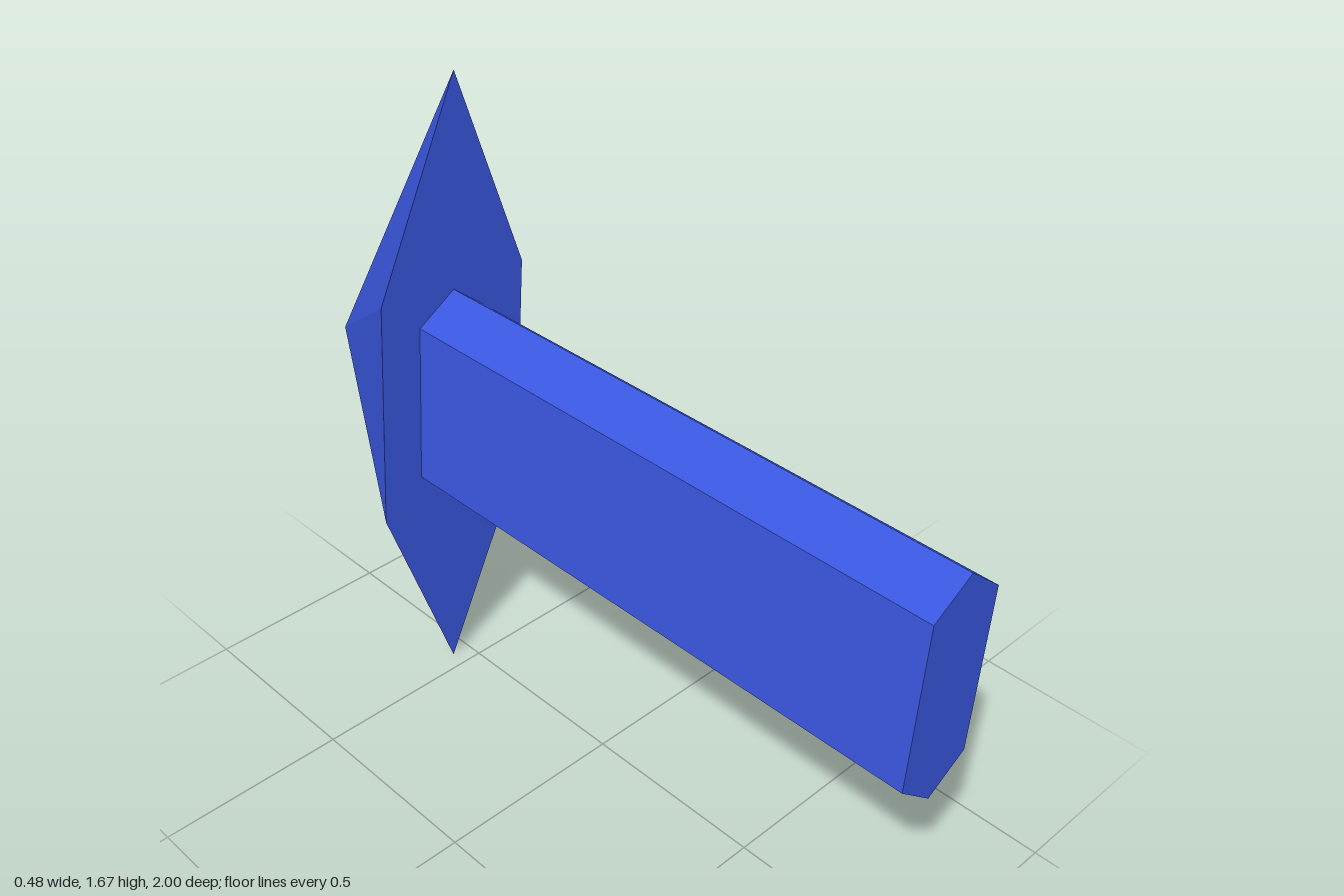
import * as THREE from 'three';

const MID_Y = 0.8425;  // height of the arrow's axis
const HEAD_Z = -0.545; // plane where the head meets the shaft

// Half a hexagon, counter-clockwise, completed by point symmetry about the axis
function hexagon(half) {
  return [...half, ...half.map(([x, y]) => [-x, -y])].map(([x, y]) => new THREE.Vector2(x, y));
}

// Pyramid pointing to -z with a closed base facing +z
function pyramid(points, baseZ, tipZ) {
  const pos = [];
  points.forEach((a, i) => {
    const b = points[(i + 1) % points.length];
    pos.push(a.x, a.y, baseZ, b.x, b.y, baseZ, 0, 0, baseZ); // base
    pos.push(b.x, b.y, baseZ, a.x, a.y, baseZ, 0, 0, tipZ);  // side
  });
  for (let i = 0; i < pos.length; i += 9) {
    // base triangles keep the centre last, already counter-clockwise from +z
  }
  const geo = new THREE.BufferGeometry();
  geo.setAttribute('position', new THREE.Float32BufferAttribute(pos, 3));
  geo.computeVertexNormals();
  return geo;
}

export function createModel() {
  const group = new THREE.Group();
  group.name = 'arrow';
  const blue = new THREE.MeshStandardMaterial({ name: 'blue', color: 0x3a57e0, flatShading: true });

  // Long hexagonal shaft
  const shaftShape = new THREE.Shape(hexagon([[0.019, 0.287], [-0.091, 0.22], [-0.119, -0.203]]));
  const shaftGeo = new THREE.ExtrudeGeometry(shaftShape, { depth: 1 - HEAD_Z, bevelEnabled: false });
  const shaft = new THREE.Mesh(shaftGeo, blue);
  shaft.name = 'shaft';
  shaft.position.set(0, MID_Y, HEAD_Z);

  // Six-sided pointed head
  const headPoints = hexagon([[0.054, 0.836], [-0.2, 0.318], [-0.24, -0.287]]);
  const head = new THREE.Mesh(pyramid(headPoints, HEAD_Z, -1), blue);
  head.name = 'head';
  head.position.y = MID_Y;

  group.add(shaft, head);
  return group;
}
